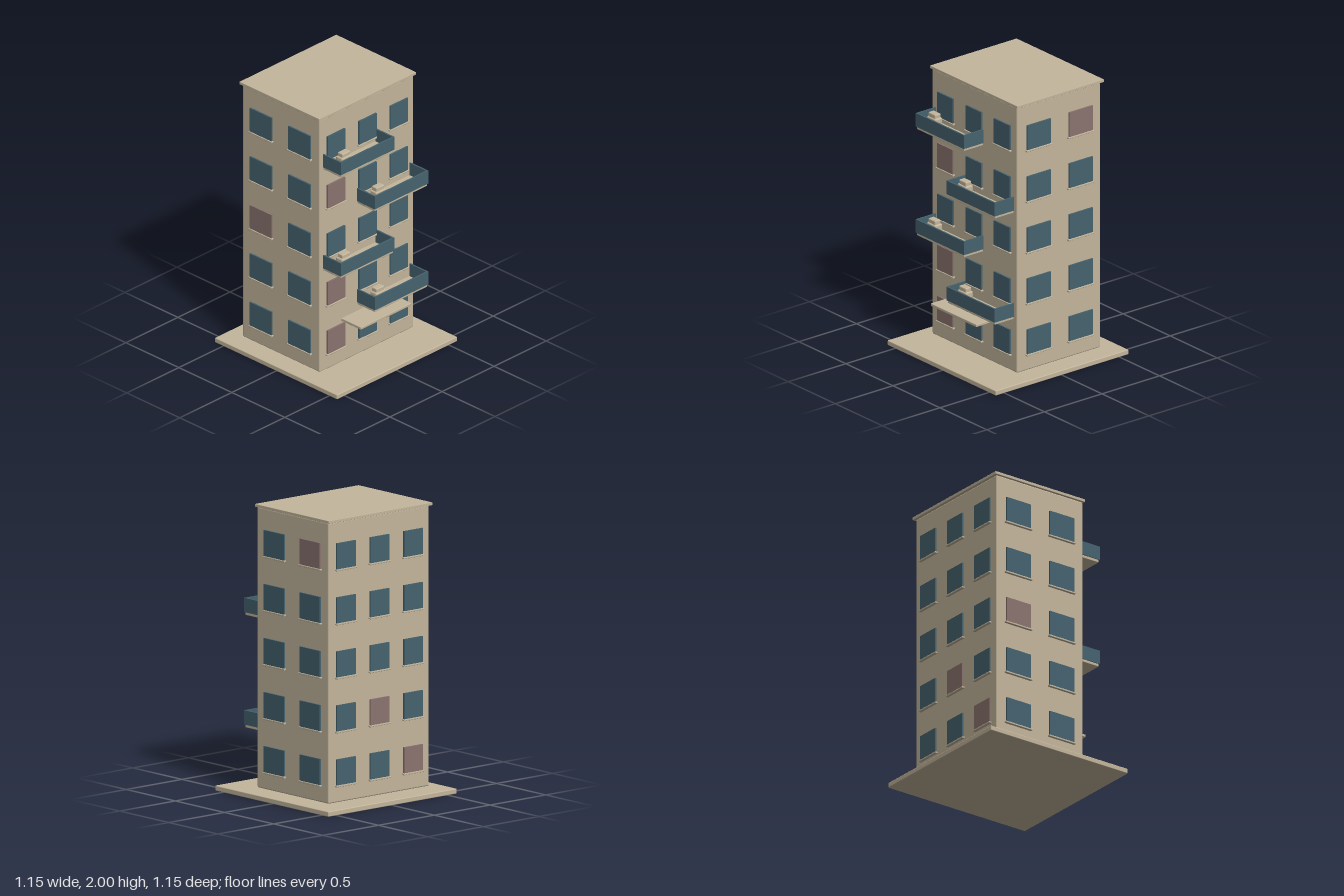
import * as THREE from 'three';
import { RoundedBoxGeometry } from 'three/addons/geometries/RoundedBoxGeometry.js';

const mat = (name, color) => {
  const m = new THREE.MeshStandardMaterial({ color });
  m.name = name;
  return m;
};

export function createModel() {
  const model = new THREE.Group();
  model.name = 'apartmentBlock';
  const plaster = mat('beige plaster', 0xc4b69c);
  const glass = mat('teal glass', 0x46636f);
  const curtain = mat('dusty pink glass', 0x8b7470);

  // Box given by its min and max along each axis; r rounds the edges
  const box = (parent, name, material, [x0, x1], [y0, y1], [z0, z1], r = 0) => {
    const size = [x1 - x0, y1 - y0, z1 - z0];
    const geo = r ? new RoundedBoxGeometry(...size, 2, r) : new THREE.BoxGeometry(...size);
    const mesh = new THREE.Mesh(geo, material);
    mesh.name = name;
    mesh.position.set((x0 + x1) / 2, (y0 + y1) / 2, (z0 + z1) / 2);
    parent.add(mesh);
    return mesh;
  };

  // Main masses
  box(model, 'basePlate', plaster, [-0.577, 0.577], [0, 0.036], [-0.577, 0.577], 0.006);
  box(model, 'tower', plaster, [-0.452, 0.452], [0.05, 1.981], [-0.437, 0.29], 0.01);
  box(model, 'roofSlab', plaster, [-0.465, 0.465], [1.98, 2], [-0.454, 0.299], 0.002);
  box(model, 'entranceCanopy', plaster, [-0.243, 0.243], [0.365, 0.385], [0.285, 0.474], 0.004);

  // Window pane with sill, facing +z, origin on the wall at the pane's bottom
  const makeWindow = (width, material) => {
    const g = new THREE.Group();
    g.name = 'window';
    box(g, 'pane', material, [-width / 2, width / 2], [0, 0.18], [-0.01, 0.012]);
    const s = width / 2 + 0.009;
    box(g, 'sill', plaster, [-s, s], [-0.01, 0.002], [-0.01, 0.018], 0.003);
    return g;
  };

  // Each wall: place(u) gives x, z; pink lists "floor,column"
  const across = [-0.302, 0, 0.302];
  const along = [-0.257, 0.107];
  const walls = [
    { name: 'frontWindows', us: across, width: 0.168, turn: 0, place: u => [u, 0.29], pink: ['0,0', '1,0', '3,0'] },
    { name: 'backWindows', us: across, width: 0.168, turn: Math.PI, place: u => [u, -0.437], pink: ['0,0', '1,1'] },
    { name: 'leftWindows', us: along, width: 0.205, turn: Math.PI / 2, place: u => [0.452, u], pink: ['4,0'] },
    { name: 'rightWindows', us: along, width: 0.205, turn: -Math.PI / 2, place: u => [-0.452, u], pink: ['2,0'] },
  ];
  for (const wall of walls) {
    const row = new THREE.Group();
    row.name = wall.name;
    for (let floor = 0; floor < 5; floor++) {
      wall.us.forEach((u, col) => {
        const w = makeWindow(wall.width, wall.pink.includes(`${floor},${col}`) ? curtain : glass);
        const [x, z] = wall.place(u);
        w.position.set(x, 0.168 + floor * 0.3715, z);
        w.rotation.y = wall.turn;
        row.add(w);
      });
    }
    model.add(row);
  }

  // Balconies alternate between the two sides of the front
  for (let i = 0; i < 4; i++) {
    const b = new THREE.Group();
    b.name = 'balcony';
    const w = 0.515, t = 0.012;
    box(b, 'floorSlab', plaster, [0.006, w - 0.006], [0, 0.024], [0.28, 0.452], 0.004);
    box(b, 'frontRail', glass, [0, w], [0.02, 0.118], [0.447, 0.459]);
    for (const x of [0, w - t]) box(b, 'sideRail', glass, [x, x + t], [0.02, 0.118], [0.288, 0.447]);
    // Storage chest with a narrower rounded lid
    box(b, 'chest', plaster, [0.06, 0.156], [0.022, 0.108], [0.35, 0.415], 0.012);
    box(b, 'chestLid', plaster, [0.07, 0.146], [0.1, 0.136], [0.358, 0.408], 0.008);
    b.position.set(i % 2 ? -0.421 : -0.094, 0.432 + i * 0.3865, 0);
    model.add(b);
  }
  return model;
}
